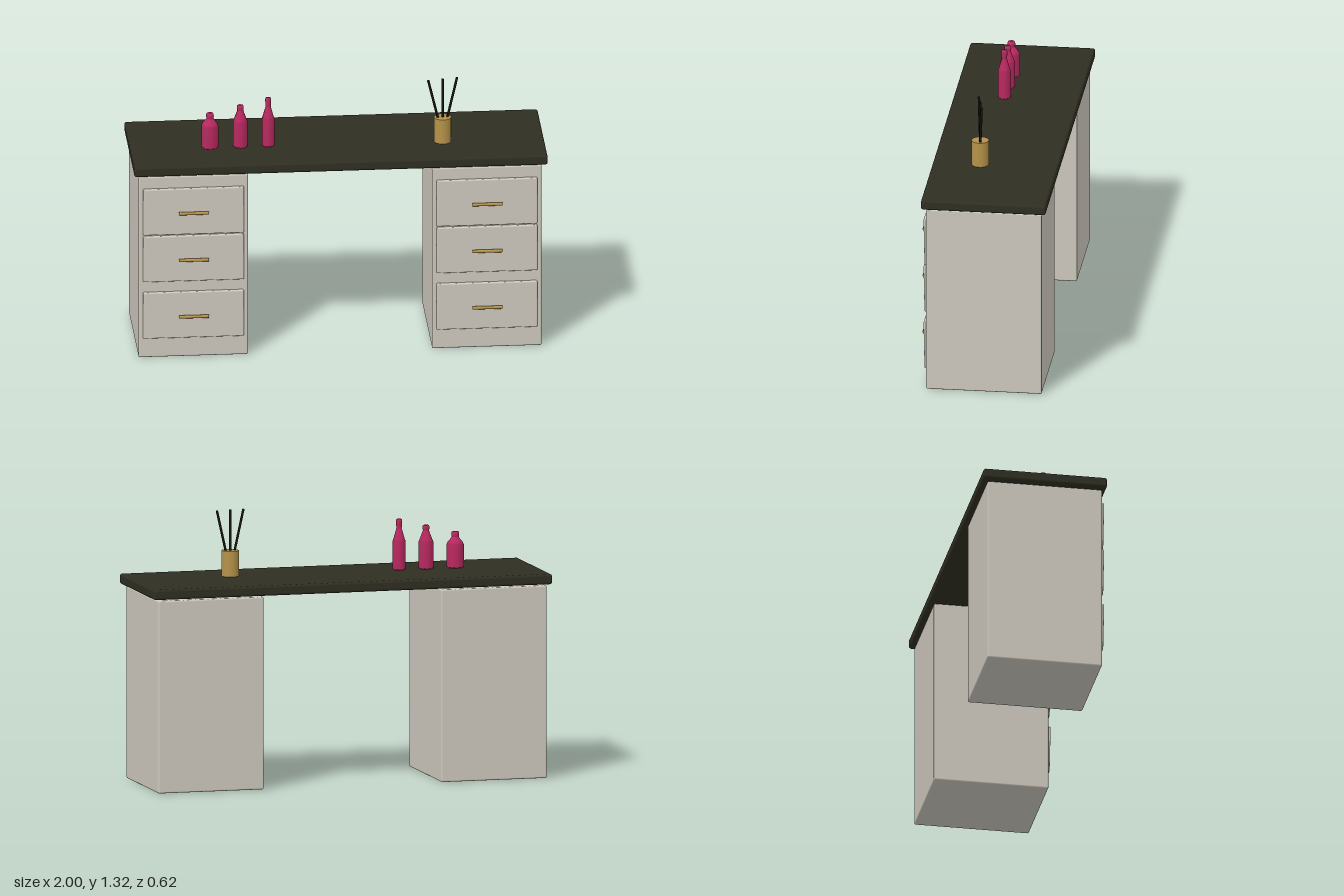
import * as THREE from 'three';
import { RoundedBoxGeometry } from 'three/addons/geometries/RoundedBoxGeometry.js';

const mat = (name, color, extra = {}) => {
  const m = new THREE.MeshStandardMaterial({ color, ...extra });
  m.name = name;
  return m;
};

export function createModel() {
  const dark = mat('dark worktop', 0x2f2e22);
  const cream = mat('cream paint', 0xcdc8be);
  const brass = mat('brass', 0xb5924a);
  const glass = mat('magenta glass', 0xb8295f);
  const black = mat('black reed', 0x15160f);

  const desk = new THREE.Group();
  desk.name = 'desk';

  const add = (parent, name, geometry, material, x, y, z) => {
    const mesh = new THREE.Mesh(geometry, material);
    mesh.name = name;
    mesh.position.set(x, y, z);
    parent.add(mesh);
    return mesh;
  };

  // Worktop with softened edges
  add(desk, 'worktop', new RoundedBoxGeometry(2, 0.05, 0.606, 3, 0.012), dark, 0, 0.975, -0.008);

  // Two drawer pedestals, three drawers each
  const drawers = [[0.76, 0.642, 0.882], [0.517, 0.399, 0.637], [0.223, 0.105, 0.345]];
  for (const [side, x] of [['right', -0.713], ['left', 0.707]]) {
    const pedestal = new THREE.Group();
    pedestal.name = side + 'Pedestal';
    pedestal.position.x = x;
    desk.add(pedestal);
    add(pedestal, 'cabinet', new RoundedBoxGeometry(0.53, 0.938, 0.562, 2, 0.008), cream, 0, 0.474, -0.008);
    for (const [handleY, bottom, top] of drawers) {
      // Drawer front: slimmer towards its lower edge
      const front = new RoundedBoxGeometry(0.488, top - bottom, 0.022, 2, 0.006);
      const p = front.attributes.position;
      for (let i = 0; i < p.count; i++) {
        if (p.getZ(i) > 0 && p.getY(i) < 0) p.setZ(i, p.getZ(i) - 0.005);
      }
      add(pedestal, 'drawerFront', front, cream, 0, (top + bottom) / 2, 0.277);
      const handle = add(pedestal, 'drawerHandle',
        new THREE.CylinderGeometry(0.008, 0.008, 0.145, 12), brass, 0, handleY, 0.305);
      handle.rotation.z = Math.PI / 2;
    }
  }

  // Bottles: [x, body radius, shoulder height, neck start, neck radius, total height]
  const bottles = [
    [-0.615, 0.042, 0.122, 0.147, 0.017, 0.174],
    [-0.468, 0.036, 0.14, 0.184, 0.015, 0.211],
    [-0.333, 0.031, 0.15, 0.2, 0.013, 0.246],
  ];
  for (const [x, r, shoulder, neck, nr, h] of bottles) {
    const profile = [
      [0, 0], [r * 0.95, 0], [r, 0.006], [r, shoulder - 0.01], [r * 0.85, shoulder + 0.003],
      [nr, neck], [nr, neck + 0.004], [nr * 1.15, h - 0.012], [nr, h], [0, h],
    ].map(([a, b]) => new THREE.Vector2(a, b));
    add(desk, 'bottle', new THREE.LatheGeometry(profile, 10), glass, x, 1, 0.05);
  }

  // Reed diffuser: cup and three splayed reeds
  const diffuser = new THREE.Group();
  diffuser.name = 'reedDiffuser';
  diffuser.position.set(0.51, 1, 0.065);
  desk.add(diffuser);
  add(diffuser, 'cup', new THREE.CylinderGeometry(0.042, 0.042, 0.125, 20), brass, 0, 0.0625, 0);
  for (const s of [-1, 0, 1]) {
    const from = new THREE.Vector3(s * 0.018, 0.1, -s * 0.002);
    const to = new THREE.Vector3(s * 0.071, 0.322, -s * 0.015);
    const reed = add(diffuser, 'reed', new THREE.CylinderGeometry(0.006, 0.006, from.distanceTo(to), 8), black, 0, 0, 0);
    reed.position.copy(from).lerp(to, 0.5);
    reed.quaternion.setFromUnitVectors(new THREE.Vector3(0, 1, 0), to.clone().sub(from).normalize());
  }

  return desk;
}
